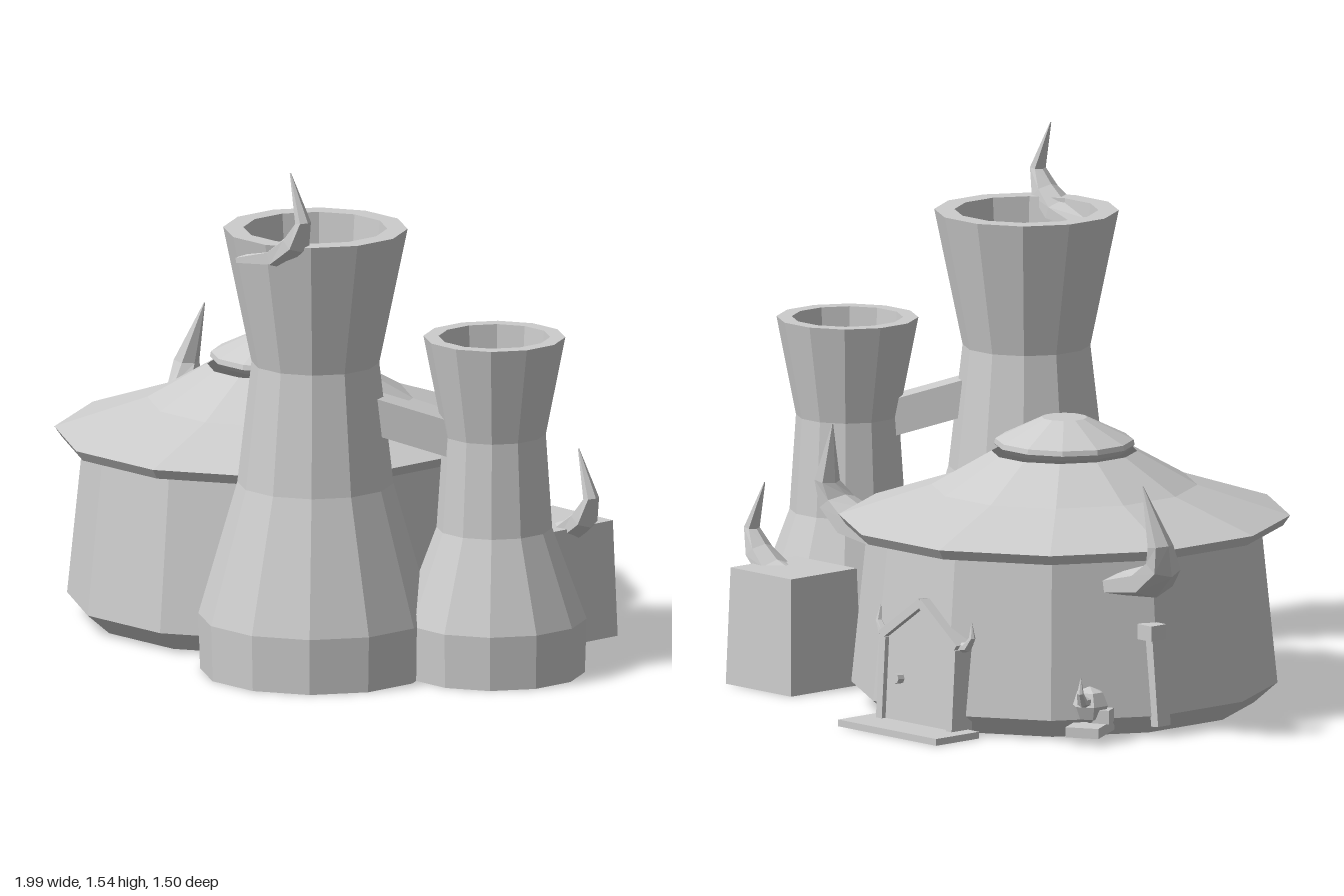
import * as THREE from 'three';

const SIDES = 12;
const APOTHEM = Math.cos(Math.PI / SIDES);

export function createModel() {
  const model = new THREE.Group();
  const stone = new THREE.MeshStandardMaterial({ color: 0xcccccc, flatShading: true, side: THREE.DoubleSide });
  stone.name = 'light grey stone';

  const add = (name, geometry, x = 0, y = 0, z = 0, parent = model) => {
    const mesh = new THREE.Mesh(geometry, stone);
    mesh.name = name;
    mesh.position.set(x, y, z);
    parent.add(mesh);
    return mesh;
  };

  // Twelve-sided turned form; radii are measured to the middle of a facet
  const turned = (profile) => new THREE.LatheGeometry(
    profile.map(([r, y]) => new THREE.Vector2(r / APOTHEM, y)), SIDES, Math.PI / SIDES);

  // Six-sided horn; each section is [x, y, z, half thickness, half width]
  const horn = (sections) => {
    const position = [], index = [], n = 6;
    sections.forEach(([x, y, z, t, w], i) => {
      const a = sections[Math.max(i - 1, 0)], b = sections[Math.min(i + 1, sections.length - 1)];
      const len = Math.hypot(b[0] - a[0], b[1] - a[1]);
      const nx = -(b[1] - a[1]) / len, ny = (b[0] - a[0]) / len;
      for (let k = 0; k < n; k++) {
        const c = Math.cos(k * Math.PI * 2 / n), s = Math.sin(k * Math.PI * 2 / n);
        position.push(x + nx * t * c, y + ny * t * c, z + w * s);
        if (i > 0) {
          const p = (i - 1) * n + k, q = (i - 1) * n + (k + 1) % n;
          index.push(p, q, p + n, q, q + n, p + n);
        }
      }
    });
    for (let k = 1; k < n - 1; k++) index.push(0, k + 1, k);
    const g = new THREE.BufferGeometry();
    g.setAttribute('position', new THREE.Float32BufferAttribute(position, 3));
    g.setIndex(index);
    g.computeVertexNormals();
    return g;
  };

  // Round hut, open underneath
  const hut = new THREE.Group();
  hut.name = 'hut';
  hut.position.set(-0.245, 0, -0.01);
  model.add(hut);
  const wall = add('hutWall', turned([[0.52, 0], [0.585, 0.06], [0.54, 0.53]]), 0, 0, 0, hut);
  const roof = add('hutRoof', turned([[0.53, 0.515], [0.6, 0.525], [0.62, 0.555], [0.365, 0.645], [0.2, 0.745]]), 0, 0, 0, hut);
  const cap = add('roofCap', turned([[0.185, 0.75], [0.2, 0.765], [0.197, 0.78], [0.065, 0.845], [0, 0.845]]), 0, 0, 0, hut);
  wall.scale.z = roof.scale.z = 1.05;
  cap.scale.z = 0.98;

  // Pair of wall horns, with a plank and bracket under each
  const wallHorn = horn([
    [0.5, 0.45, -0.23, 0.035, 0.09], [0.63, 0.475, -0.235, 0.05, 0.085],
    [0.7, 0.53, -0.255, 0.045, 0.06], [0.715, 0.595, -0.28, 0.035, 0.04], [0.665, 0.77, -0.305, 0.002, 0.002],
  ]);
  for (const side of [-1, 1]) {
    const fittings = new THREE.Group();
    fittings.name = side > 0 ? 'leftWallFittings' : 'rightWallFittings';
    fittings.scale.x = side;
    hut.add(fittings);
    add('wallHorn', wallHorn, 0, 0, 0, fittings);
    add('wallPlank', new THREE.BoxGeometry(0.03, 0.26, 0.05), 0.575, 0.16, -0.16, fittings).rotation.z = 0.095;
    add('wallBracket', new THREE.BoxGeometry(0.06, 0.045, 0.06), 0.57, 0.31, -0.18, fittings);
  }

  // Cooling towers: waisted outside, shallow basin at the mouth, open underneath
  add('largeTower', turned([
    [0.325, 0], [0.33, 0.165], [0.22, 0.56], [0.18, 0.92], [0.26, 1.32], [0.203, 1.32], [0.19, 1.17], [0, 1.17],
  ]), 0.375, 0, 0.413);
  add('smallTower', turned([
    [0.255, 0], [0.26, 0.16], [0.163, 0.43], [0.145, 0.71], [0.2, 1.0], [0.157, 1.0], [0.148, 0.88], [0, 0.88],
  ]), 0.74, 0, 0.04);

  // Sloping duct between the towers
  const from = new THREE.Vector3(0.45, 0.79, 0.34), to = new THREE.Vector3(0.72, 0.68, 0.08);
  const duct = add('duct', new THREE.BoxGeometry(0.1, 0.105, from.distanceTo(to)));
  duct.position.copy(from).lerp(to, 0.5);
  duct.lookAt(to);

  // Slightly tapered crate behind the towers
  const crate = add('crate', new THREE.CylinderGeometry(0.13 * Math.SQRT2, 0.14 * Math.SQRT2, 0.345, 4, 1, false, Math.PI / 4), 0.495, 0.1725, -0.4);
  crate.geometry.computeBoundingBox();

  // Curled spikes on the large tower and on the crate
  const spike = horn([
    [-0.06, -0.04, 0, 0.015, 0.07], [0.07, -0.015, 0, 0.036, 0.06],
    [0.135, 0.035, 0, 0.036, 0.045], [0.165, 0.1, 0, 0.021, 0.025], [0.11, 0.24, 0, 0.002, 0.002],
  ]);
  add('towerSpike', spike, 0.385, 1.295, 0.62);
  add('crateSpike', spike, 0.515, 0.34, -0.395);

  // Gabled back door leaning with the wall
  const door = new THREE.Group();
  door.name = 'door';
  door.position.set(-0.29, 0.01, -0.635);
  door.rotation.x = 0.06;
  model.add(door);
  const gable = new THREE.Shape([[-0.14, 0], [0.14, 0], [0.14, 0.25], [0, 0.35], [-0.14, 0.25]]
    .map(([x, y]) => new THREE.Vector2(x, y)));
  add('doorPanel', new THREE.ExtrudeGeometry(gable, { depth: 0.06, bevelEnabled: false }), 0, 0, 0, door);
  const doorHorn = horn([
    [0, 0, 0, 0.016, 0.018], [0.035, 0.005, 0, 0.015, 0.016], [0.055, 0.035, 0, 0.01, 0.01], [0.05, 0.08, 0, 0.001, 0.001],
  ]);
  for (const side of [-1, 1]) {
    add('doorPost', new THREE.BoxGeometry(0.025, 0.25, 0.08), side * 0.15, 0.125, 0.025, door);
    add('gableBeam', new THREE.BoxGeometry(0.2, 0.025, 0.08), side * 0.078, 0.312, 0.025, door).rotation.z = -side * 0.62;
    add('doorHorn', doorHorn, side * 0.145, 0.255, 0.015, door).scale.x = side;
  }
  add('doorKnob', new THREE.CylinderGeometry(0.016, 0.016, 0.025, 8), 0.08, 0.135, -0.012, door).rotation.x = Math.PI / 2;
  add('doorstep', new THREE.BoxGeometry(0.42, 0.02, 0.17), -0.29, 0.01, -0.67);

  // Small horned ornament on a slab beside the door
  const ornament = new THREE.Group();
  ornament.name = 'hornedOrnament';
  ornament.position.set(-0.73, 0, -0.37);
  ornament.rotation.y = Math.PI / 6 + Math.PI;
  model.add(ornament);
  add('ornamentSlab', new THREE.BoxGeometry(0.1, 0.03, 0.16), 0.01, 0.035, 0, ornament);
  add('ornamentHead', new THREE.SphereGeometry(0.055, 6, 4), 0.01, 0.105, 0, ornament);
  add('ornamentMuzzle', new THREE.BoxGeometry(0.05, 0.04, 0.05), 0.05, 0.075, 0, ornament);
  for (const side of [-1, 1]) {
    add('ornamentHorn', doorHorn, 0.01, 0.12, side * 0.04, ornament).rotation.y = -side * Math.PI / 2;
  }
  return model;
}
